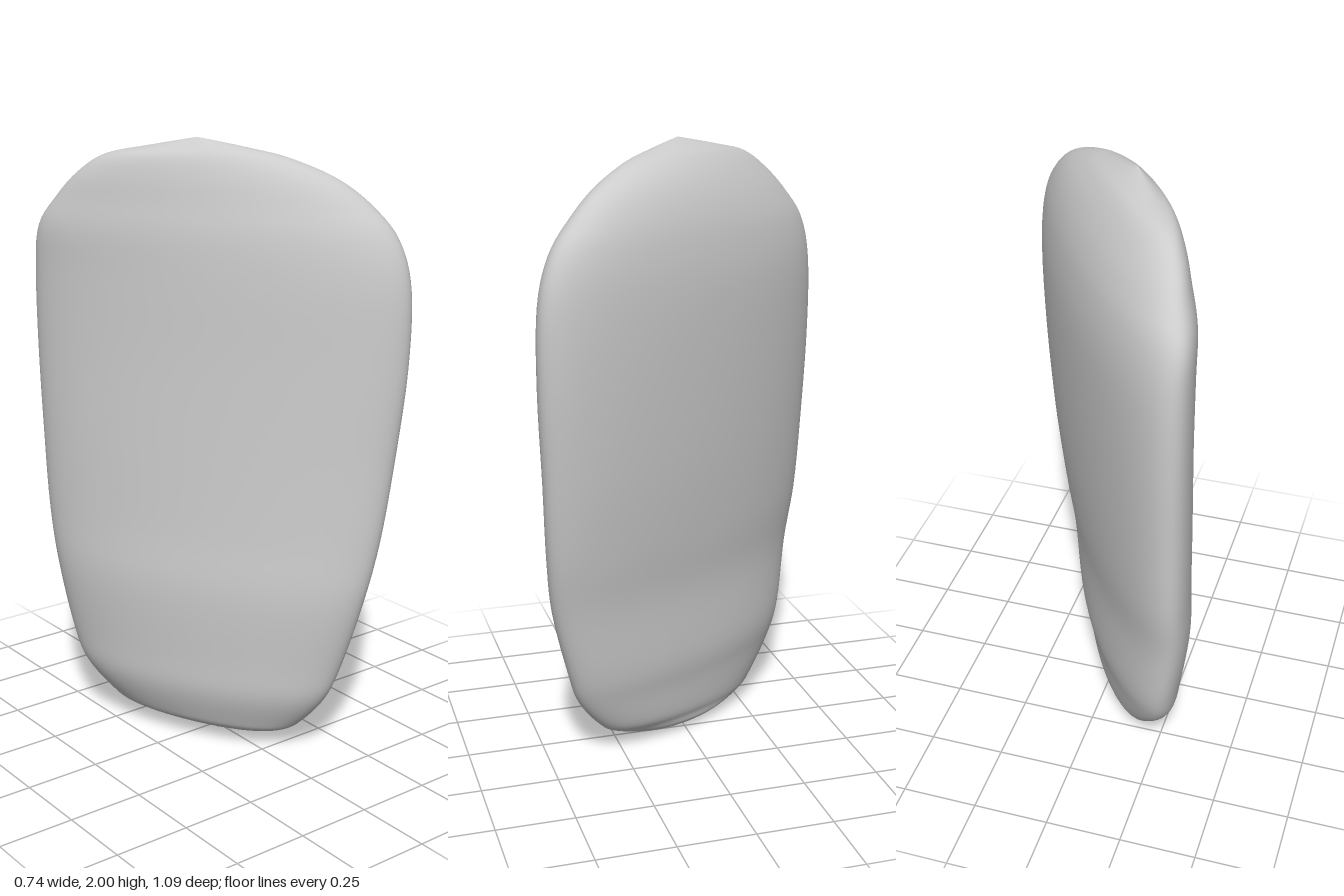
import * as THREE from 'three';

// Levels from bottom to top: [y, x min, x max, z min, z max, half thickness]
const LEVELS = [
  [0, -0.016, -0.014, 0.029, 0.031, 0.0005],
  [0.03, -0.1, 0.06, -0.14, 0.17, 0.05],
  [0.06, -0.2, 0.1, -0.26, 0.27, 0.085],
  [0.1, -0.245, 0.135, -0.31, 0.325, 0.105],
  [0.2, -0.305, 0.175, -0.385, 0.4, 0.13],
  [0.32, -0.33, 0.21, -0.43, 0.44, 0.145],
  [0.55, -0.362, 0.25, -0.465, 0.495, 0.155],
  [0.75, -0.368, 0.292, -0.5, 0.517, 0.16],
  [1.0, -0.37, 0.33, -0.52, 0.53, 0.165],
  [1.3, -0.37, 0.36, -0.537, 0.545, 0.166],
  [1.55, -0.37, 0.367, -0.537, 0.54, 0.165],
  [1.7, -0.367, 0.347, -0.51, 0.5, 0.155],
  [1.8, -0.335, 0.3, -0.44, 0.425, 0.135],
  [1.88, -0.3, 0.23, -0.36, 0.335, 0.11],
  [1.94, -0.25, 0.13, -0.27, 0.22, 0.08],
  [1.97, -0.165, 0.04, -0.15, 0.12, 0.05],
  [2, -0.076, -0.074, -0.001, 0.001, 0.0005],
];
const STEPS = 5, SIDES = 72;

// Catmull-Rom blend of the four levels around i
function levelAt(i, t) {
  const at = (k) => LEVELS[Math.min(Math.max(k, 0), LEVELS.length - 1)];
  const [p, q, r, s] = [at(i - 1), at(i), at(i + 1), at(i + 2)];
  return q.map((v, k) => v + 0.5 * t * (r[k] - p[k]
    + t * (2 * p[k] - 5 * v + 4 * r[k] - s[k] + t * (3 * (v - r[k]) + s[k] - p[k]))));
}

// Slanted ellipse that fills the given x and z extents at the given thickness
function addRing(positions, [y, x0, x1, z0, z1, b]) {
  const cx = (x0 + x1) / 2, cz = (z0 + z1) / 2;
  const hx2 = ((x1 - x0) / 2) ** 2, hz2 = ((z1 - z0) / 2) ** 2;
  const a2 = Math.max(hx2 + hz2 - b * b, b * b * 1.01);
  const turn = Math.acos(THREE.MathUtils.clamp((hz2 - hx2) / (a2 - b * b), 0, 1)) / 2;
  const a = Math.sqrt(a2), s = Math.sin(turn), c = Math.cos(turn);
  for (let i = 0; i < SIDES; i++) {
    const t = (i / SIDES) * Math.PI * 2;
    const u = a * Math.cos(t), v = b * Math.sin(t);
    positions.push(cx + u * s + v * c, y, cz + u * c - v * s);
  }
}

function stoneGeometry() {
  const positions = [], index = [];
  for (let i = 0; i < LEVELS.length - 1; i++) {
    for (let k = 0; k < STEPS; k++) addRing(positions, levelAt(i, k / STEPS));
  }
  addRing(positions, LEVELS[LEVELS.length - 1]);
  const rings = positions.length / 3 / SIDES;

  for (let r = 0; r < rings - 1; r++) {
    for (let i = 0; i < SIDES; i++) {
      const j = (i + 1) % SIDES, lo = r * SIDES, hi = lo + SIDES;
      index.push(lo + i, lo + j, hi + j, lo + i, hi + j, hi + i);
    }
  }
  // Close the tiny tips
  const top = (rings - 1) * SIDES;
  for (let i = 1; i < SIDES - 1; i++) {
    index.push(0, i + 1, i, top, top + i, top + i + 1);
  }
  const geometry = new THREE.BufferGeometry();
  geometry.setAttribute('position', new THREE.Float32BufferAttribute(positions, 3));
  geometry.setIndex(index);
  geometry.computeVertexNormals();
  return geometry;
}

export function createModel() {
  const group = new THREE.Group();
  group.name = 'standingStone';
  const stone = new THREE.Mesh(stoneGeometry(), new THREE.MeshStandardMaterial({ color: 0xcccccc }));
  stone.name = 'stoneSlab';
  group.add(stone);
  return group;
}
